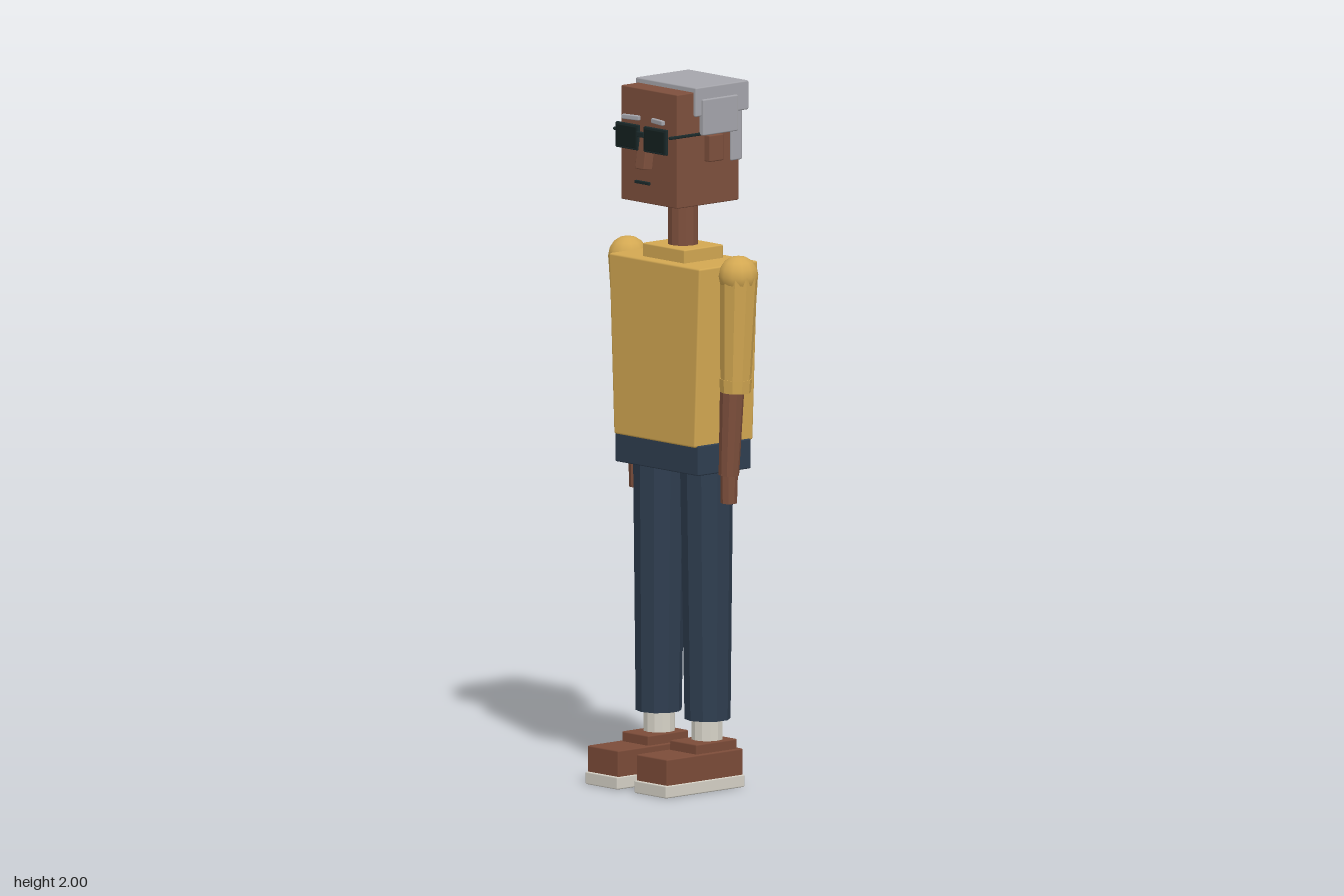
import * as THREE from 'three';
import { RoundedBoxGeometry } from 'three/addons/geometries/RoundedBoxGeometry.js';

const colour = (name, hex) => {
  const m = new THREE.MeshStandardMaterial({ color: hex });
  m.name = name;
  return m;
};

export function createModel() {
  const skin = colour('brown skin', 0x7e503d);
  const shirt = colour('mustard shirt', 0xd3a852);
  const denim = colour('navy trousers', 0x2f3e50);
  const grey = colour('grey hair', 0xa6a6ac);
  const leather = colour('brown leather', 0x7c4c39);
  const cream = colour('cream sole and sock', 0xd6d2c7);
  const frame = colour('dark frame', 0x1b2a2b);
  const lensMat = colour('dark lens', 0x14201f);

  const model = new THREE.Group();
  model.name = 'standingMan';

  const add = (name, geometry, material, parent = model) => {
    const mesh = new THREE.Mesh(geometry, material);
    mesh.name = name;
    parent.add(mesh);
    return mesh;
  };

  // Softly bevelled box given by its extents
  const box = (name, mat, [x0, x1], [y0, y1], [z0, z1], bevel = 0.004, parent = model) => {
    const mesh = add(name, new RoundedBoxGeometry(x1 - x0, y1 - y0, z1 - z0, 1, bevel), mat, parent);
    mesh.position.set((x0 + x1) / 2, (y0 + y1) / 2, (z0 + z1) / 2);
    return mesh;
  };

  // Faceted tapered limb running from a lower to an upper point
  const limb = (name, mat, low, high, rLow, rHigh, sides = 10, parent = model) => {
    const a = new THREE.Vector3(...low), b = new THREE.Vector3(...high);
    const dir = b.clone().sub(a);
    const geo = new THREE.CylinderGeometry(rHigh, rLow, dir.length(), sides).toNonIndexed();
    geo.computeVertexNormals();
    const mesh = add(name, geo, mat, parent);
    mesh.position.copy(a).add(b).multiplyScalar(0.5);
    mesh.quaternion.setFromUnitVectors(new THREE.Vector3(0, 1, 0), dir.normalize());
    return mesh;
  };

  const Z = -0.043; // depth of the body's axis

  // Torso, narrowing to the waist
  const torso = box('torso', shirt, [-0.19, 0.19], [0.985, 1.497], [-0.155, 0.067], 0.006);
  const p = torso.geometry.attributes.position;
  for (let i = 0; i < p.count; i++) {
    p.setX(i, p.getX(i) * (0.945 + 0.055 * (p.getY(i) / 0.256)));
  }
  box('collar', shirt, [-0.088, 0.088], [1.48, 1.535], [-0.116, 0.032]);
  box('hips', denim, [-0.174, 0.174], [0.905, 0.99], [-0.143, 0.058]);

  // Head
  limb('neck', skin, [0, 1.52, Z], [0, 1.68, Z], 0.043, 0.043, 12);
  box('head', skin, [-0.117, 0.117], [1.662, 1.986], [-0.148, 0.086], 0.003);
  const nose = box('nose', skin, [-0.019, 0.019], [1.762, 1.862], [0.083, 0.117], 0.003);
  nose.rotation.x = -0.14;
  box('mouth', frame, [-0.03, 0.03], [1.721, 1.73], [0.107, 0.115], 0.002);

  // Hair
  box('hairTop', grey, [-0.126, 0.126], [1.917, 2], [-0.178, 0.023]);
  box('hairBack', grey, [-0.122, 0.122], [1.777, 1.93], [-0.157, -0.115]);

  // Bridge between the lenses
  box('glassesBridge', frame, [-0.016, 0.016], [1.855, 1.87], [0.109, 0.121], 0.002);

  for (const s of [-1, 1]) {
    const side = s > 0 ? 'left' : 'right';
    // Extents mirrored to the chosen side
    const mx = (a, b) => (s > 0 ? [a, b] : [-b, -a]);

    // Face and hair details
    box(side + 'Ear', skin, mx(0.11, 0.14), [1.786, 1.862], [-0.071, -0.017]);
    box(side + 'HairPanel', grey, mx(0.108, 0.133), [1.862, 1.965], [-0.133, 0.001]);
    const brow = box(side + 'Eyebrow', grey, mx(0.026, 0.086), [1.897, 1.911], [0.097, 0.109], 0.003);
    brow.rotation.y = -s * 0.2;
    box(side + 'LensRim', frame, mx(0.011, 0.106), [1.815, 1.888], [0.108, 0.118], 0.003);
    box(side + 'Lens', lensMat, mx(0.017, 0.1), [1.821, 1.882], [0.114, 0.121], 0.002);
    box(side + 'Temple', frame, mx(0.112, 0.12), [1.861, 1.87], [-0.02, 0.115], 0.003);

    // Arm
    const shoulder = add(side + 'Shoulder', new THREE.SphereGeometry(0.057, 12, 8), shirt);
    shoulder.position.set(s * 0.231, 1.472, Z);
    limb(side + 'Sleeve', shirt, [s * 0.219, 1.15, Z], [s * 0.233, 1.475, Z], 0.043, 0.054);
    limb(side + 'Cuff', shirt, [s * 0.2185, 1.14, Z], [s * 0.22, 1.178, Z], 0.044, 0.046);
    limb(side + 'Forearm', skin, [s * 0.191, 0.9, Z], [s * 0.206, 1.17, Z], 0.029, 0.035);
    limb(side + 'Hand', skin, [s * 0.191, 0.82, Z], [s * 0.192, 0.91, Z], 0.023, 0.025, 8);

    // Leg
    limb(side + 'Leg', denim, [s * 0.102, 0.196, Z], [s * 0.098, 0.915, Z], 0.065, 0.075);
    limb(side + 'Sock', cream, [s * 0.1, 0.13, Z], [s * 0.1, 0.21, Z], 0.045, 0.045, 12);

    // Shoe
    box(side + 'Sole', cream, mx(0.035, 0.169), [0, 0.036], [-0.124, 0.175]);
    box(side + 'Shoe', leather, mx(0.038, 0.166), [0.03, 0.11], [-0.12, 0.169]);
    box(side + 'ShoeCollar', leather, mx(0.046, 0.156), [0.1, 0.138], [-0.106, 0.048]);
  }

  return model;
}
